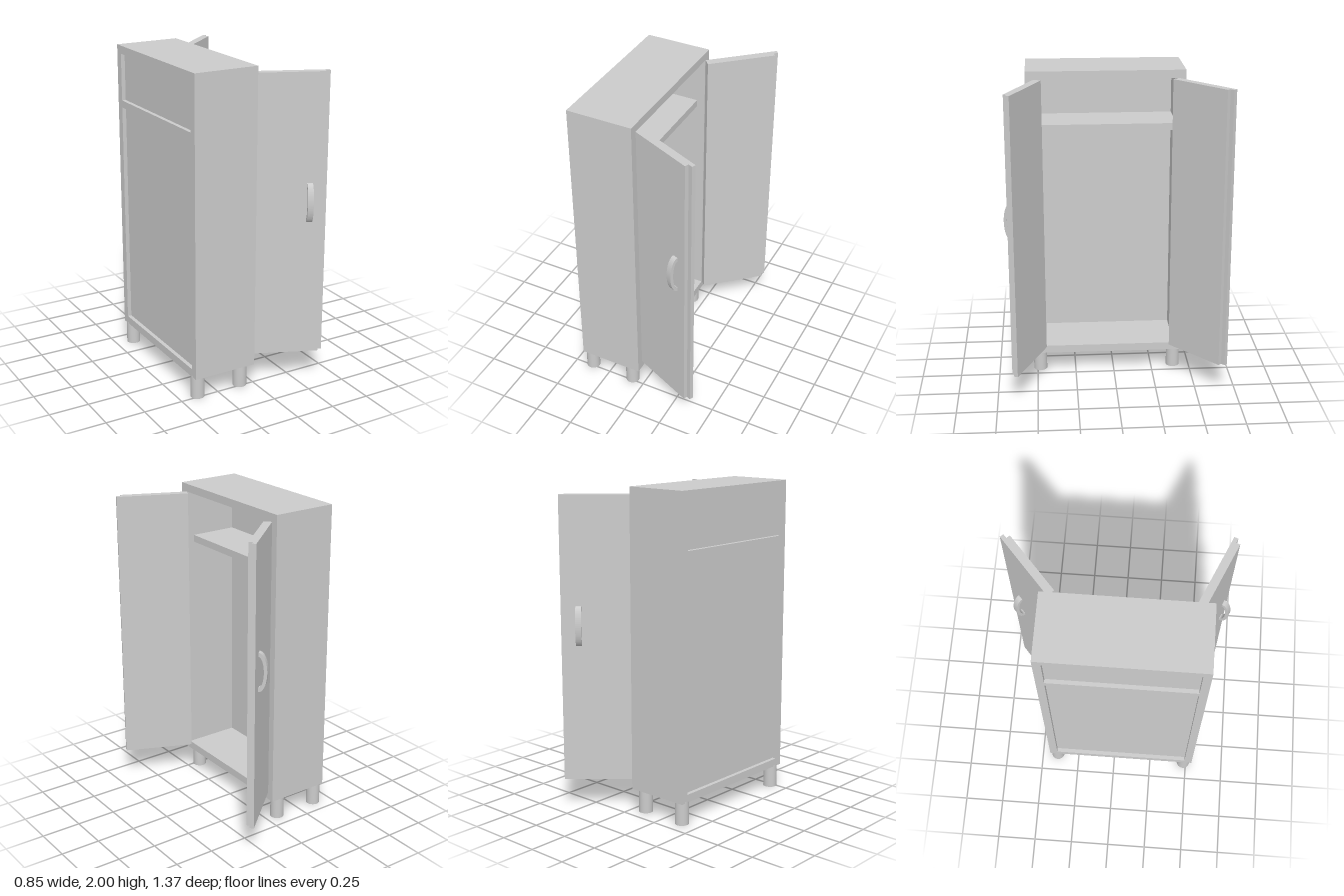
import * as THREE from 'three';

const mat = new THREE.MeshStandardMaterial({ color: 0xcccccc });
const openMat = new THREE.MeshStandardMaterial({ color: 0xcccccc, side: THREE.DoubleSide });

// cabinet extents: it opens towards +x
const X0 = -0.422, X1 = -0.012, Z0 = -0.44, Z1 = 0.535, Y0 = 0.14, Y1 = 2, T = 0.05;

function add(parent, name, geometry, material = mat) {
  const mesh = new THREE.Mesh(geometry, material);
  mesh.name = name;
  parent.add(mesh);
  return mesh;
}

function boxBetween(x0, x1, y0, y1, z0, z1) {
  return new THREE.BoxGeometry(x1 - x0, y1 - y0, z1 - z0)
    .translate((x0 + x1) / 2, (y0 + y1) / 2, (z0 + z1) / 2);
}

// rectangular path from corner to corner
function rect(path, a0, b0, a1, b1) {
  path.moveTo(a0, b0);
  path.lineTo(a1, b0);
  path.lineTo(a1, b1);
  path.lineTo(a0, b1);
  path.closePath();
  return path;
}

// side = +1 or -1 is the direction (in z) of the outer face
function makeDoor(name, side, hingeZ, angle, innerLength, outerLength) {
  const door = new THREE.Group();
  door.name = name;

  // plan of the panel with a stepped meeting edge
  const plan = [[0, 0], [outerLength, 0], [outerLength, -T / 2],
    [innerLength, -T / 2], [innerLength, -T], [0, -T]];
  const panel = new THREE.Shape(plan.map(([u, v]) => new THREE.Vector2(u, -side * v)));
  const geometry = new THREE.ExtrudeGeometry(panel, { depth: 1.76, bevelEnabled: false });
  geometry.rotateX(-Math.PI / 2).translate(0, 0.19, 0);
  add(door, name + 'Panel', geometry);

  // bow handle: a flat arched band standing on the outer face
  const bow = new THREE.Shape();
  bow.moveTo(0, -0.122);
  bow.absellipse(0, 0, 0.052, 0.122, -Math.PI / 2, Math.PI / 2, false);
  bow.lineTo(0, 0.097);
  bow.absellipse(0, 0, 0.032, 0.097, Math.PI / 2, -Math.PI / 2, true);
  const width = 0.035;
  const bowGeometry = new THREE.ExtrudeGeometry(bow, { depth: width, bevelEnabled: false, curveSegments: 16 });
  bowGeometry.translate(0, 0, -width / 2).rotateY(-side * Math.PI / 2);
  add(door, name + 'Handle', bowGeometry).position.set(0.343, 1.163, 0);

  door.position.set(X1, 0, hingeZ);
  door.rotation.y = -side * angle;
  return door;
}

export function createModel() {
  const wardrobe = new THREE.Group();
  wardrobe.name = 'wardrobe';

  // carcass: top, bottom and both sides as one frame
  const frame = rect(new THREE.Shape(), -Z1, Y0, -Z0, Y1);
  frame.holes.push(rect(new THREE.Path(), -Z1 + T, Y0 + T, -Z0 - T, Y1 - T));
  const carcass = new THREE.ExtrudeGeometry(frame, { depth: X1 - X0, bevelEnabled: false });
  carcass.rotateY(Math.PI / 2).translate(X0, 0, 0);
  add(wardrobe, 'carcass', carcass);

  // recessed back panel and the shelf
  add(wardrobe, 'backPanel', boxBetween(X0 + 0.025, X0 + 0.055, Y0 + T, Y1 - T, Z0 + T, Z1 - T));
  add(wardrobe, 'shelf', boxBetween(X0, X1 - 0.052, 1.612, 1.657, Z0 + T, Z1 - T));

  // tubular legs
  for (const x of [-0.382, -0.085]) {
    for (const z of [0.482, -0.395]) {
      const leg = new THREE.CylinderGeometry(0.043, 0.043, 0.15, 32, 1, true);
      add(wardrobe, 'leg', leg, openMat).position.set(x, 0.075, z);
    }
  }

  // two opened doors with overlapping stepped edges
  wardrobe.add(makeDoor('frontDoor', 1, Z1 - T, THREE.MathUtils.degToRad(23.7), 0.45, 0.422));
  wardrobe.add(makeDoor('rearDoor', -1, Z0 + T - 0.005, THREE.MathUtils.degToRad(41.4), 0.422, 0.45));

  return wardrobe;
}
